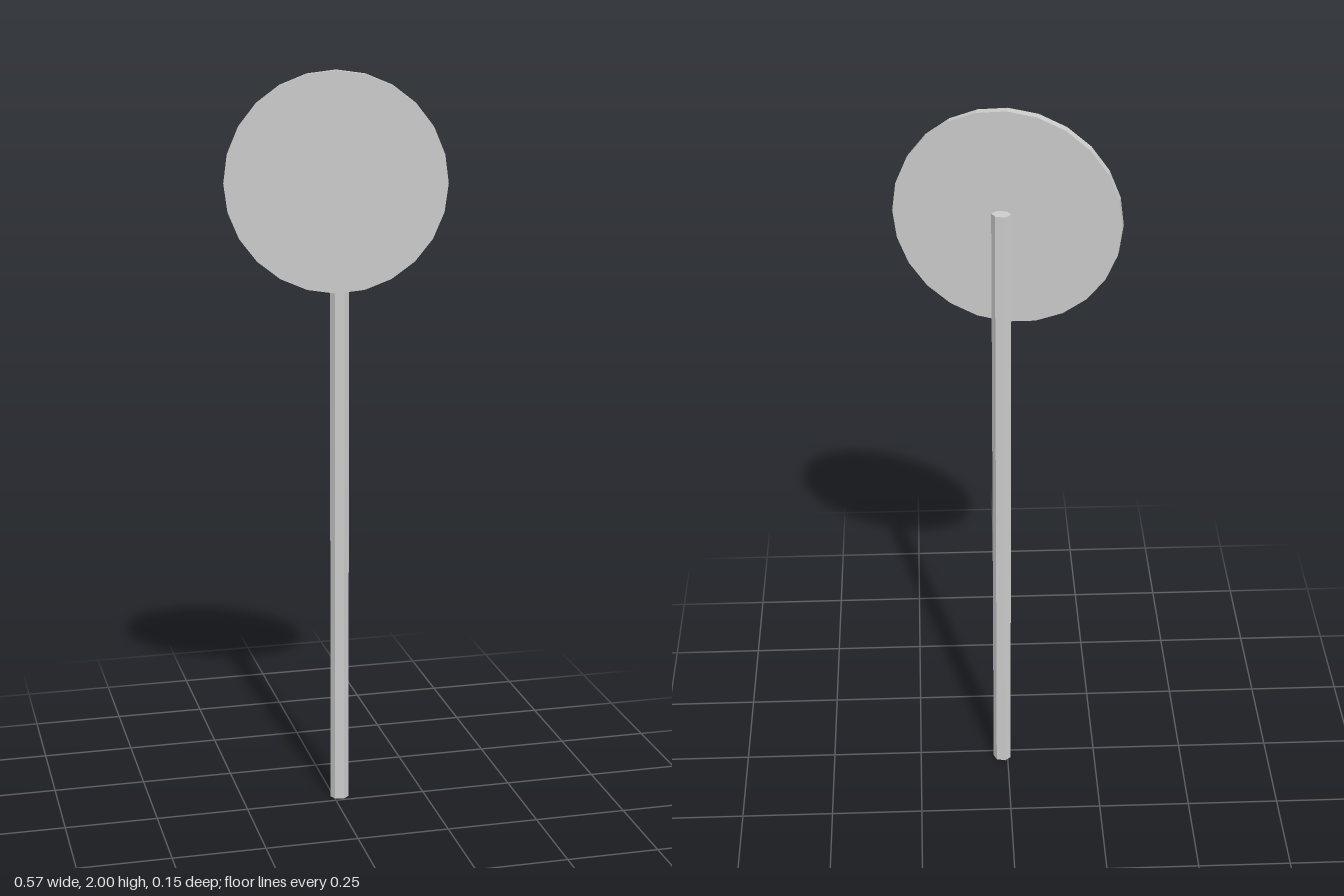
import * as THREE from 'three';

export function createModel() {
  const model = new THREE.Group();
  model.name = 'roundSignOnPost';
  model.rotation.y = THREE.MathUtils.degToRad(-12.9);
  const material = new THREE.MeshStandardMaterial({ color: 0xcccccc, flatShading: true });

  // Round plate, standing upright and facing forward
  const plateShape = new THREE.CylinderGeometry(0.2885, 0.2885, 0.0225, 24);
  plateShape.rotateX(Math.PI / 2).scale(1, 0.286 / 0.2885, 1);
  const plate = new THREE.Mesh(plateShape, material);
  plate.name = 'signPlate';
  plate.position.y = 1.714;

  // Slightly flattened six-sided post against the back of the plate
  const postHeight = 1.736;
  const postShape = new THREE.CylinderGeometry(0.025, 0.025, postHeight, 6, 1, false, Math.PI / 2);
  postShape.scale(1, 1, 0.77);
  const post = new THREE.Mesh(postShape, material);
  post.name = 'post';
  post.position.set(0.0098, postHeight / 2, -0.0283);

  model.add(plate, post);
  const group = new THREE.Group();
  group.name = 'sign';
  group.add(model);
  return group;
}
